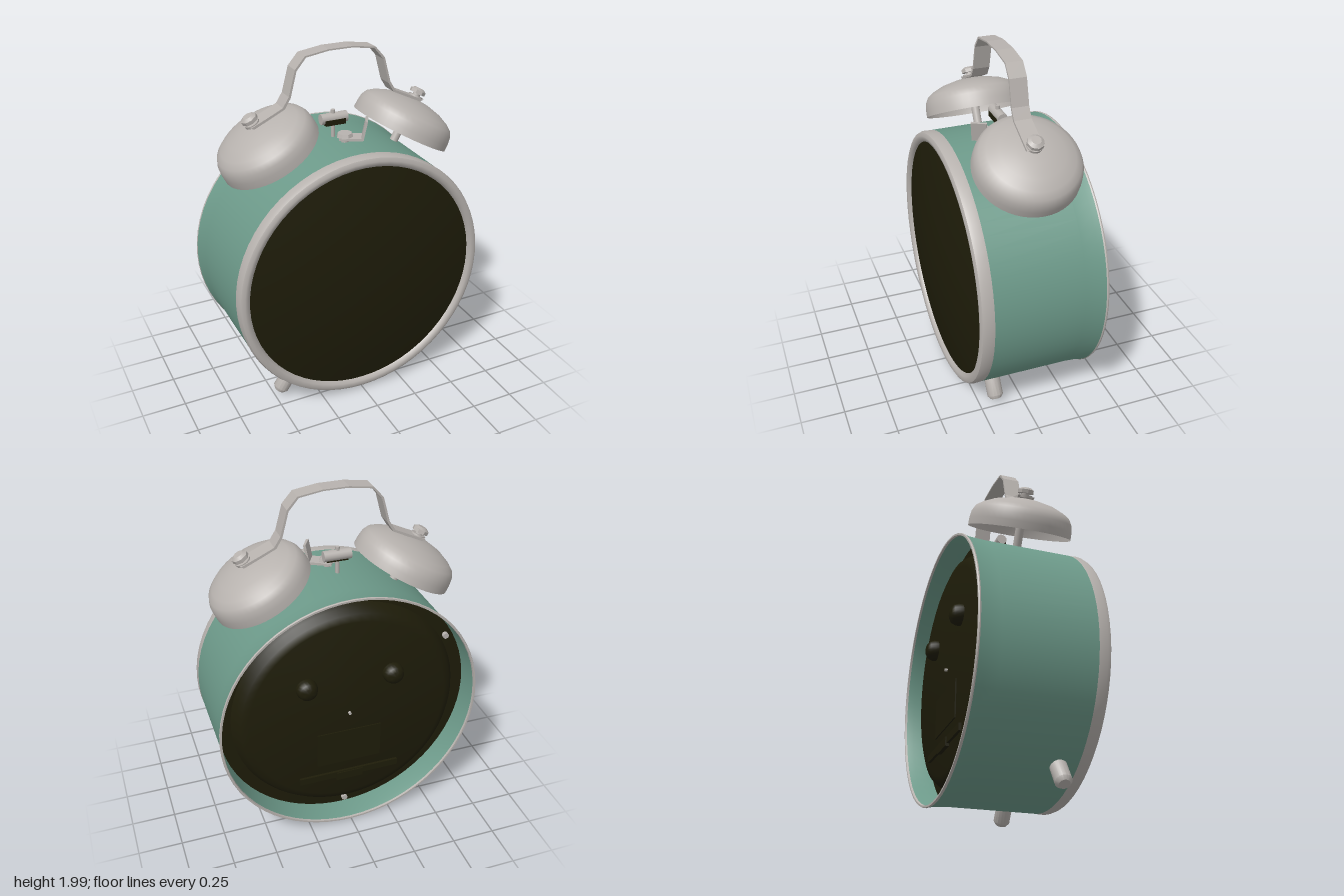
import * as THREE from 'three';
import { toCreasedNormals } from 'three/addons/utils/BufferGeometryUtils.js';

const CY = 0.76; // height of the clock's axis
const BZ = -0.037; // depth of the bells and handle

export function createModel() {
  const model = new THREE.Group();
  const paint = (name, color, side = THREE.FrontSide) =>
    Object.assign(new THREE.MeshStandardMaterial({ color, side }), { name });
  const teal = paint('teal enamel', 0x6d9a8a, THREE.DoubleSide);
  const metal = paint('warm grey metal', 0xb7b2ae, THREE.DoubleSide);
  const dark = paint('dark olive', 0x1e1c09);

  const add = (name, geometry, material, parent = model, x = 0, y = 0, z = 0) => {
    const mesh = new THREE.Mesh(geometry, material);
    mesh.name = name;
    mesh.position.set(x, y, z);
    parent.add(mesh);
    return mesh;
  };
  const lathe = (points, segments = 48) => toCreasedNormals(
    new THREE.LatheGeometry(points.map(p => new THREE.Vector2(...p)), segments), 0.7);
  const turned = (points, segments) => lathe(points, segments).rotateX(Math.PI / 2);
  const rod = (r, h, sides = 16, rTop = r) => new THREE.CylinderGeometry(rTop, r, h, sides);

  // Drum: an open shell flaring slightly at the back
  add('case', turned([[0.75, -0.37], [0.742, -0.33], [0.737, -0.25], [0.735, 0.26]], 64), teal, model, 0, CY);
  add('backRim', turned([[0.738, -0.368], [0.74, -0.38], [0.75, -0.38], [0.753, -0.373], [0.75, -0.366]], 64),
    metal, model, 0, CY);
  add('bezel', turned([[0.72, 0.25], [0.735, 0.255], [0.737, 0.3], [0.729, 0.32], [0.71, 0.33],
    [0.69, 0.326], [0.677, 0.312], [0.672, 0.28]], 64), metal, model, 0, CY);

  // Domed glass
  const dome = [];
  for (let i = 0; i <= 8; i++) {
    const r = 0.685 * (1 - i / 8);
    dome.push([r, 0.38 - 0.075 * (r / 0.685) ** 2]);
  }
  add('glass', turned(dome, 64), dark, model, 0, CY);

  // Recessed back plate with a raised middle and its fittings
  const back = new THREE.Group();
  back.name = 'backPanel';
  back.position.y = CY;
  model.add(back);
  add('backPlate', turned([[0, -0.32], [0.58, -0.32], [0.62, -0.305], [0.645, -0.27], [0.66, -0.24], [0.732, -0.235]], 64),
    dark, back);
  for (const s of [-1, 1]) {
    add('backKnob', turned([[0, -0.384], [0.03, -0.381], [0.05, -0.367], [0.06, -0.34], [0.06, -0.31]], 20),
      dark, back, s * 0.25, 0.22);
  }
  add('batteryDoor', new THREE.BoxGeometry(0.38, 0.22, 0.014), dark, back, 0, -0.23, -0.32);
  add('batteryLedge', new THREE.BoxGeometry(0.6, 0.04, 0.03), dark, back, 0, -0.425, -0.32);
  add('batteryLatch', new THREE.BoxGeometry(0.16, 0.05, 0.03), dark, back, 0, -0.435, -0.327);
  add('centreShaft', rod(0.009, 0.03, 8).rotateX(Math.PI / 2), metal, back, 0, 0, -0.32);
  for (const a of [30, 150, 270]) {
    const t = a * Math.PI / 180;
    add('backScrew', rod(0.018, 0.03, 10).rotateX(Math.PI / 2), metal, back,
      0.69 * Math.cos(t), 0.69 * Math.sin(t), -0.245);
  }

  // Bells, posts, nuts and feet on both sides
  for (const s of [-1, 1]) {
    const bell = new THREE.Group();
    bell.name = s > 0 ? 'leftBell' : 'rightBell';
    bell.position.set(s * 0.394, 1.47, BZ);
    bell.rotation.z = -s * 0.503;
    model.add(bell);
    add('bellShell', lathe([[0.288, 0], [0.287, 0.04], [0.281, 0.08], [0.264, 0.112], [0.23, 0.136],
      [0.17, 0.163], [0.09, 0.182], [0, 0.188]]), metal, bell);
    add('bellPost', rod(0.024, 0.26), metal, bell, 0, 0.045);
    add('bellWasher', rod(0.042, 0.014), metal, bell, 0, 0.202);
    add('bellStud', rod(0.022, 0.05, 12), metal, bell, 0, 0.21);
    add('bellNut', toCreasedNormals(rod(0.046, 0.02, 8), 0.5), metal, bell, 0, 0.23);
    add('bellCap', rod(0.044, 0.012, 12, 0.026), metal, bell, 0, 0.246);

    const foot = new THREE.Group();
    foot.name = s > 0 ? 'leftFoot' : 'rightFoot';
    foot.position.set(0, CY, 0.155);
    foot.rotation.z = s * 0.58;
    model.add(foot);
    add('footPeg', lathe([[0, -0.862], [0.03, -0.862], [0.046, -0.842], [0.046, -0.71]], 16), metal, foot);
  }

  // Bent strip handle
  const half = [[0.515, 1.637], [0.42, 1.68], [0.335, 1.72], [0.3, 1.775], [0.262, 1.915], [0.205, 1.98], [0.07, 2]];
  const outer = [...half.map(([x, y]) => [-x, y]), ...half.slice().reverse()];
  const inner = outer.map(([x, y]) => [x * 0.965, y - 0.008]).reverse();
  const strip = new THREE.Shape([...outer, ...inner].map(p => new THREE.Vector2(...p)));
  add('handle', new THREE.ExtrudeGeometry(strip, { depth: 0.095, bevelEnabled: false }), metal, model, 0, 0, BZ - 0.0475);

  // Striker between the bells
  const striker = new THREE.Group();
  striker.name = 'striker';
  model.add(striker);
  add('strikerStem', rod(0.012, 0.17, 10), metal, striker, -0.025, 1.565, BZ);
  add('strikerHead', rod(0.03, 0.155, 16).rotateZ(Math.PI / 2), metal, striker, -0.022, 1.602, BZ);
  add('strikerPad', new THREE.BoxGeometry(0.12, 0.03, 0.05), dark, striker, -0.022, 1.585, BZ + 0.008);

  // Angled bracket and its nut
  add('bracketStud', rod(0.022, 0.08, 10), metal, striker, 0, 1.49, 0.06);
  add('bracketNut', toCreasedNormals(rod(0.047, 0.022, 8, 0.04), 0.5), metal, striker, 0, 1.535, 0.06);
  const bracket = new THREE.Group();
  bracket.name = 'bracket';
  bracket.position.set(0, 1.52, 0.06);
  bracket.rotation.y = -0.5;
  striker.add(bracket);
  add('bracketBase', new THREE.BoxGeometry(0.13, 0.014, 0.085), metal, bracket, 0.035, 0);
  add('bracketArm', new THREE.BoxGeometry(0.014, 0.11, 0.085), metal, bracket, 0.107, 0.052).rotation.z = -0.2;
  return model;
}
